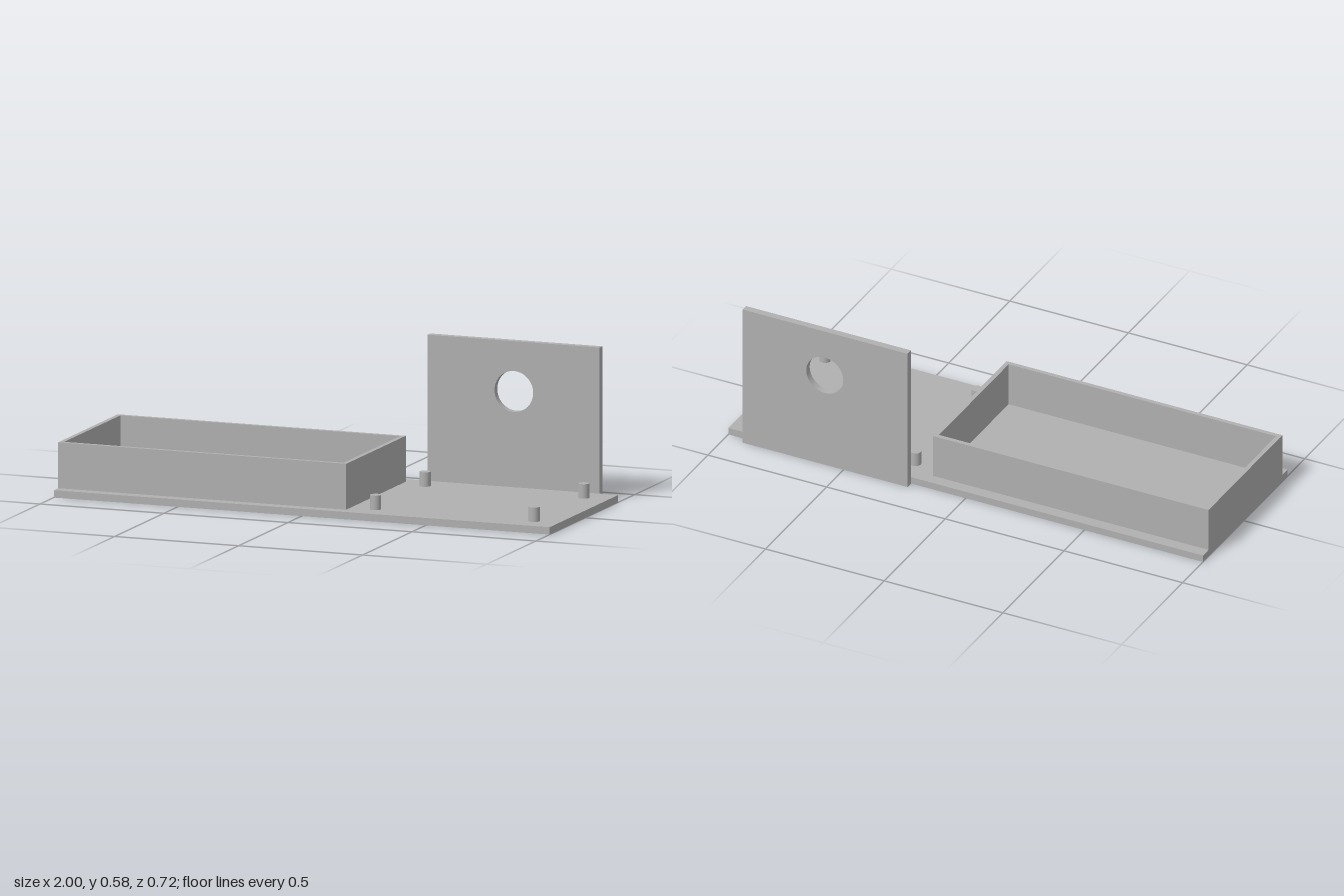
import * as THREE from 'three';

export function createModel() {
  const model = new THREE.Group();
  const grey = new THREE.MeshStandardMaterial({ color: 0xb0b0b0 });
  grey.name = 'plain grey';

  const add = (name, geometry, x = 0, y = 0, z = 0) => {
    const mesh = new THREE.Mesh(geometry, grey);
    mesh.name = name;
    mesh.position.set(x, y, z);
    model.add(mesh);
    return mesh;
  };

  // Rectangle outline from two opposite corners
  const rectangle = (Type, x0, y0, x1, y1) => {
    const path = new Type();
    path.moveTo(x0, y0).lineTo(x1, y0).lineTo(x1, y1).lineTo(x0, y1).closePath();
    return path;
  };
  const extrude = (shape, depth) =>
    new THREE.ExtrudeGeometry(shape, { depth, bevelEnabled: false, curveSegments: 32 });

  const thick = 0.028;
  const baseBack = -0.333;
  const baseFront = 0.361;

  // Flat base
  add('basePlate', new THREE.BoxGeometry(2, thick, baseFront - baseBack),
    0, thick / 2, (baseFront + baseBack) / 2);

  // Open tray walls, drawn in plan and extruded upward (shape y = -z)
  const wall = 0.0175;
  const tray = rectangle(THREE.Shape, -1, -0.317, 0.162, 0.287);
  tray.holes.push(rectangle(THREE.Path, -1 + wall, -0.317 + wall, 0.162 - wall, 0.287 - wall));
  add('trayWalls', extrude(tray, 0.203 - thick).rotateX(-Math.PI / 2), 0, thick, 0);

  // Upright panel with a round hole, fixed to the back edge of the base
  const panel = rectangle(THREE.Shape, 0.23, 0, 0.925, 0.585);
  const hole = new THREE.Path();
  hole.absarc(0.579, 0.393, 0.078, 0, Math.PI * 2, true);
  panel.holes.push(hole);
  add('backPanel', extrude(panel, thick), 0, 0, baseBack - thick);

  // Four mounting pegs
  const pegHeight = 0.055;
  const peg = new THREE.CylinderGeometry(0.021, 0.021, pegHeight, 32);
  for (const x of [0.26, 0.9])
    for (const z of [-0.236, 0.266])
      add('mountingPeg', peg, x, thick + pegHeight / 2, z);

  return model;
}
